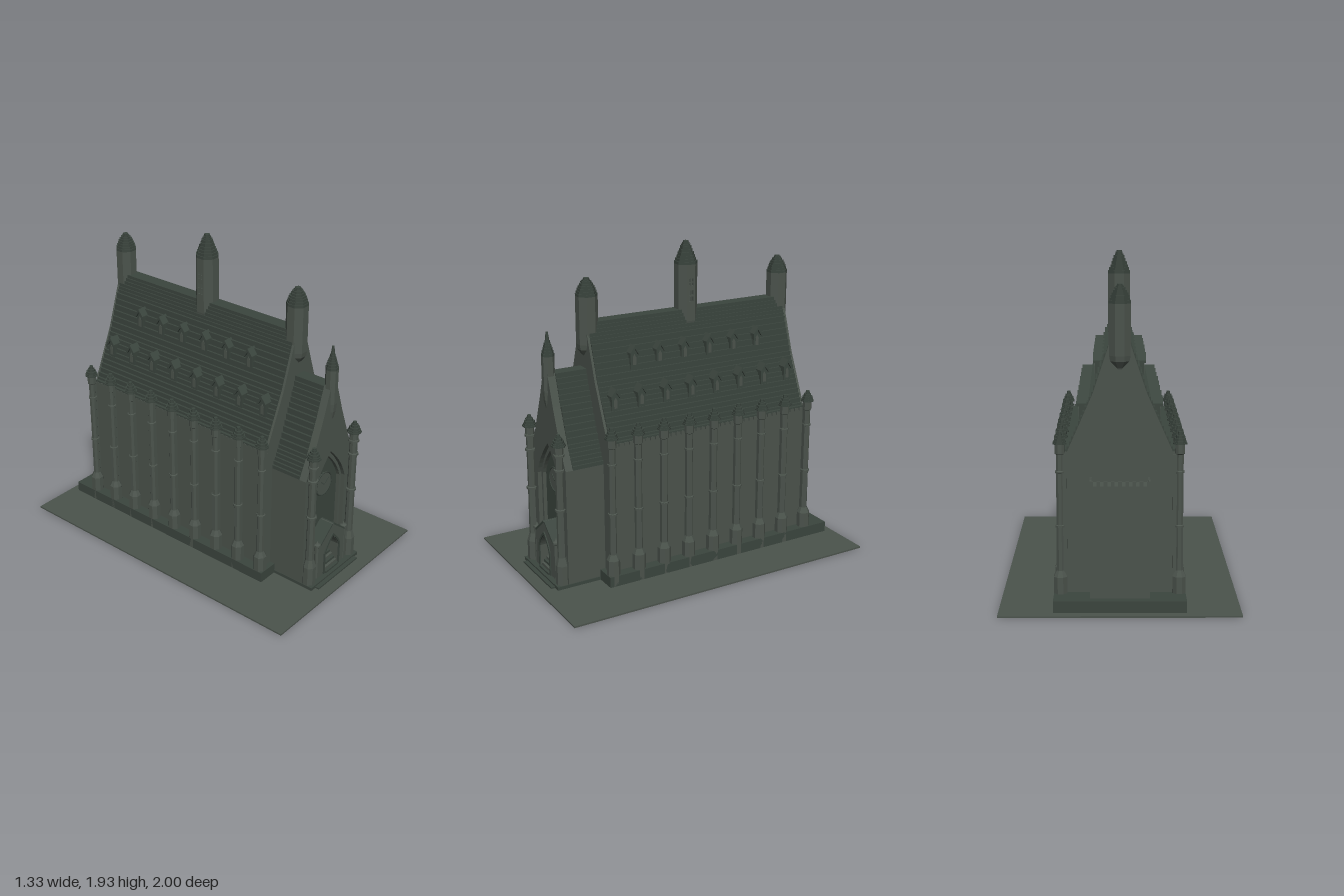
import * as THREE from 'three';

const stone = new THREE.MeshStandardMaterial({ color: 0x4b534c });
stone.name = 'grey green stone';
const dark = new THREE.MeshStandardMaterial({ color: 0x3b453e });
dark.name = 'dark slate';

export function createModel() {
  const root = new THREE.Group();

  const add = (name, geo, mat, x = 0, y = 0, z = 0, parent = root) => {
    const m = new THREE.Mesh(geo, mat);
    m.name = name;
    m.position.set(x, y, z);
    parent.add(m);
    return m;
  };
  // box given by its limits
  const box = (name, mat, x0, x1, y0, y1, z0, z1) =>
    add(name, new THREE.BoxGeometry(x1 - x0, y1 - y0, z1 - z0), mat, (x0 + x1) / 2, (y0 + y1) / 2, (z0 + z1) / 2);
  const shapeOf = pts => new THREE.Shape(pts.map(p => new THREE.Vector2(p[0], p[1])));
  const mirrored = pts => shapeOf([...pts, ...pts.map(([x, y]) => [-x, y]).reverse()]);
  const extrude = (shape, depth) => new THREE.ExtrudeGeometry(shape, { depth, bevelEnabled: false });
  // faceted octagonal turning with flat sides facing the axes
  const octagon = pts => {
    const k = 1 / Math.cos(Math.PI / 8);
    const g = new THREE.LatheGeometry(pts.map(p => new THREE.Vector2(p[0] * k, p[1])), 8, Math.PI / 8).toNonIndexed();
    g.computeVertexNormals();
    return g;
  };
  // stair-step version of an outline that narrows upward
  const stepped = (pts, perPart) => {
    const out = [];
    for (let i = 0; i < pts.length - 1; i++) {
      const [ax, ay] = pts[i], [bx, by] = pts[i + 1];
      for (let k = 0; k < perPart; k++) {
        const x = ax + (bx - ax) * k / perPart;
        out.push([x, ay + (by - ay) * k / perPart], [x, ay + (by - ay) * (k + 1) / perPart]);
      }
    }
    return out;
  };
  const stepCap = (pts, perPart) => octagon([[0, pts[0][1]], ...stepped(pts, perPart), [0, pts[pts.length - 1][1]]]);
  // right half of a pointed arch, bottom to apex
  const archHalf = (w, bottom, spring, apex) => {
    const out = [[w, bottom]];
    for (let i = 0; i <= 7; i++) {
      const t = i / 7;
      out.push([w * (1 - t) * (1 + 0.55 * t), spring + (apex - spring) * t]);
    }
    return out;
  };
  const archPts = (...a) => {
    const h = archHalf(...a);
    return [...h, ...h.slice(0, -1).map(([x, y]) => [-x, y]).reverse()];
  };
  const withArch = (outline, arch) => {
    const s = mirrored(outline);
    s.holes.push(new THREE.Path(archPts(...arch).map(p => new THREE.Vector2(...p))));
    return s;
  };

  // ground and plinths
  box('ground', stone, -0.665, 0.665, 0, 0.01, -1, 1);
  box('plinth', dark, -0.365, 0.365, 0.01, 0.075, -0.95, 0.62);
  box('frontPlinth', dark, -0.24, 0.24, 0.01, 0.03, 0.6, 0.9);
  box('frontStep', dark, -0.2, 0.2, 0.01, 0.02, 0.9, 0.925);

  // main hall
  const roofLine = [[0.29, 0.87], [0.215, 1.04], [0.145, 1.2], [0.075, 1.41], [0.035, 1.53]];
  box('hallWalls', stone, -0.3, 0.3, 0.07, 0.87, -0.79, 0.58);
  add('hallRoof', extrude(mirrored(stepped(roofLine, 6)), 1.35), dark, 0, 0, -0.78);
  for (const z of [-0.797, 0.565]) {
    add('gable', extrude(mirrored([[0.3, 0.07], [0.3, 0.865], ...roofLine]), 0.02), stone, 0, 0, z);
  }

  // side buttresses with pinnacles, and corbels under the eaves
  const buttress = octagon([[0.037, 0.01], [0.037, 0.17], [0.021, 0.205], [0.02, 0.45], [0.026, 0.452], [0.026, 0.462],
    [0.02, 0.465], [0.02, 0.755], [0.025, 0.757], [0.025, 0.767], [0.02, 0.77], [0.02, 0.86], [0.026, 0.865], [0.026, 0.92]]);
  const pinnacle = stepCap([[0.038, 0.918], [0.03, 0.935], [0.013, 0.965], [0.009, 0.985]], 2);
  const bays = 8, pitch = 0.172, firstZ = 0.58;
  for (const s of [-1, 1]) {
    for (let i = 0; i <= bays; i++) {
      const z = firstZ - i * pitch;
      add('buttress', buttress, stone, s * 0.328, 0, z);
      add('pinnacle', pinnacle, dark, s * 0.328, 0, z);
      box('buttressWeb', stone, s > 0 ? 0.29 : -0.325, s > 0 ? 0.325 : -0.29, 0.07, 0.86, z - 0.012, z + 0.012);
      if (i === bays) continue;
      for (let k = 0; k < 4; k++) {
        const cz = z - 0.036 - k * 0.034;
        box('corbel', stone, s > 0 ? 0.295 : -0.31, s > 0 ? 0.31 : -0.295, 0.855, 0.875, cz - 0.01, cz + 0.01);
      }
    }
    box('eaves', dark, s > 0 ? 0.28 : -0.307, s > 0 ? 0.307 : -0.28, 0.872, 0.884, -0.78, 0.57);
  }

  // dormers, two rows on each slope
  const dormerWall = shapeOf([[-0.024, 0], [0.024, 0], [0.024, 0.1], [0, 0.13], [-0.024, 0.1]]);
  const dormerRoof = shapeOf([[-0.032, 0.085], [-0.024, 0.085], [0, 0.122], [0.024, 0.085], [0.032, 0.085], [0.032, 0.1], [0, 0.143], [-0.032, 0.1]]);
  const dormerPane = shapeOf([[-0.011, 0.025], [0.011, 0.025], [0.011, 0.07], [0, 0.09], [-0.011, 0.07]]);
  const dormer = (s, inner, outer, y, z) => {
    const g = new THREE.Group();
    g.name = 'dormer';
    g.position.set(s * inner, y, z);
    g.rotation.y = s * Math.PI / 2;
    const d = outer - inner;
    add('dormerWall', extrude(dormerWall, d - 0.012), dark, 0, 0, 0, g);
    add('dormerRoof', extrude(dormerRoof, d), dark, 0, 0, 0, g);
    add('dormerWindow', extrude(dormerPane, 0.004), stone, 0, 0, d - 0.013, g);
    root.add(g);
  };
  for (const s of [-1, 1]) {
    for (let i = 0; i < bays; i++) {
      const z = firstZ - (i + 0.5) * pitch;
      dormer(s, 0.13, 0.235, 1.03, z);
      if (i > 0 && i < bays - 1) dormer(s, 0.06, 0.148, 1.243, z);
    }
  }

  // turrets standing on the two ends of the ridge
  for (const z of [0.555, -0.77]) {
    add('ridgeTurret', octagon([[0, 1.27], [0.02, 1.28], [0.028, 1.33], [0.056, 1.37], [0.06, 1.4], [0.06, 1.68], [0, 1.68]]), stone, 0, 0, z);
    add('ridgeTurretCap', stepCap([[0.06, 1.68], [0.045, 1.725], [0.022, 1.765], [0.012, 1.783]], 3), dark, 0, 0, z);
  }

  // middle tower with pierced windows toward both sides
  const tower = new THREE.Group();
  tower.name = 'middleTower';
  tower.position.z = -0.105;
  root.add(tower);
  const a = 0.065, half = a * Math.tan(Math.PI / 8);
  add('towerFoot', octagon([[0, 1.36], [0.035, 1.37], [0.058, 1.41], [a, 1.46], [a, 1.52], [0, 1.52]]), stone, 0, 0, 0, tower);
  for (let i = 0; i < 8; i++) {
    const wall = mirrored([[half, 1.52], [half, 1.8]]);
    if (i % 4 === 2) {
      for (const [y, w, h] of [[1.58, 0.013, 0.028], [1.618, 0.013, 0.028], [1.675, 0.008, 0.016], [1.697, 0.008, 0.02]]) {
        for (const c of [-0.01, 0.01]) {
          wall.holes.push(new THREE.Path([[c - w / 2, y], [c + w / 2, y], [c + w / 2, y + h], [c - w / 2, y + h]].map(p => new THREE.Vector2(...p))));
        }
      }
    }
    const g = extrude(wall, 0.008);
    g.translate(0, 0, a - 0.008);
    add('towerWall', g, stone, 0, 0, 0, tower).rotation.y = i * Math.PI / 4;
  }
  add('towerCap', stepCap([[0.065, 1.8], [0.045, 1.85], [0.025, 1.905], [0.012, 1.935]], 3), dark, 0, 0, 0, tower);

  // front wing
  const wingLine = [[0.235, 0.735], [0.17, 0.87], [0.09, 1.08], [0.03, 1.26]];
  box('wingWalls', stone, -0.235, 0.235, 0.03, 0.735, 0.57, 0.775);
  add('wingRoof', extrude(mirrored(stepped(wingLine, 6)), 0.21), dark, 0, 0, 0.57);
  const facade = [[0.235, 0.02], ...wingLine];
  add('innerFacade', extrude(withArch(facade, [0.14, 0.04, 0.6, 0.8]), 0.03), stone, 0, 0, 0.772);
  add('outerFacade', extrude(withArch(facade, [0.158, 0.03, 0.6, 0.835]), 0.025), stone, 0, 0, 0.802);
  box('archBack', dark, -0.15, 0.15, 0.03, 0.85, 0.77, 0.78);

  // clock
  add('clockRim', new THREE.TorusGeometry(0.074, 0.005, 6, 32), dark, 0, 0.6, 0.788);
  add('clockFace', new THREE.CylinderGeometry(0.074, 0.074, 0.009, 32).rotateX(Math.PI / 2), stone, 0, 0.6, 0.784);
  for (const [len, angle] of [[0.045, 0.85], [0.055, -0.95]]) {
    const hand = new THREE.BoxGeometry(0.005, len, 0.004);
    hand.translate(0, len / 2, 0);
    add('clockHand', hand, dark, 0, 0.595, 0.79).rotation.z = angle;
  }

  // slender spire on the front gable
  add('frontSpire', octagon([[0, 1.01], [0.015, 1.03], [0.03, 1.1], [0.035, 1.15], [0.035, 1.36], [0, 1.36]]), stone, 0, 0, 0.807);
  add('frontSpireCap', stepCap([[0.035, 1.36], [0.022, 1.41], [0.011, 1.45], [0.005, 1.5]], 3), dark, 0, 0, 0.807);

  // free columns at the front corners
  for (const s of [-1, 1]) {
    add('frontColumn', octagon([[0.037, 0.02], [0.037, 0.15], [0.024, 0.2], [0.022, 0.485], [0.03, 0.488], [0.03, 0.5], [0.022, 0.503],
      [0.022, 0.73], [0.03, 0.733], [0.03, 0.745], [0.022, 0.748], [0.022, 0.82], [0.03, 0.823], [0.03, 0.835], [0.025, 0.838], [0.025, 0.89]]), stone, s * 0.2, 0, 0.85);
    add('frontColumnCap', stepCap([[0.04, 0.885], [0.03, 0.905], [0.013, 0.935], [0.008, 0.955]], 2), dark, s * 0.2, 0, 0.85);
  }

  // entrance porch with door and stairs
  const porch = [[0.135, 0.025], [0.135, 0.245], [0.115, 0.26], [0.004, 0.35]];
  add('porch', extrude(withArch(porch, [0.066, 0.03, 0.17, 0.265]), 0.085), stone, 0, 0, 0.782);
  add('porchMoulding', extrude(withArch(archHalf(0.08, 0.026, 0.175, 0.285), [0.068, 0.03, 0.17, 0.267]), 0.008), dark, 0, 0, 0.866);
  add('doorway', extrude(shapeOf(archPts(0.042, 0.1, 0.165, 0.21)), 0.006), stone, 0, 0, 0.782);
  for (const s of [-1, 1]) {
    box('doorLeaf', dark, s * 0.017 - 0.013, s * 0.017 + 0.013, 0.11, 0.165, 0.788, 0.792);
    add('porchPinnacle', octagon([[0.014, 0.03], [0.014, 0.25], [0.02, 0.255], [0.02, 0.268], [0.01, 0.275], [0, 0.295]]), stone, s * 0.135, 0, 0.855);
    add('porchCoping', new THREE.BoxGeometry(0.155, 0.01, 0.09), dark, s * 0.066, 0.302, 0.826).rotation.z = -s * 0.68;
  }
  for (let i = 0; i < 5; i++) {
    box('stair', i % 2 ? stone : dark, -0.064, 0.064, 0.025, 0.042 + i * 0.016, 0.782, 0.88 - i * 0.016);
  }

  // rear block with battlements
  box('rearBlock', stone, -0.165, 0.165, 0.07, 0.705, -0.9, -0.78);
  for (let i = 0; i < 9; i++) {
    const x = -0.155 + i * 0.03875;
    box('merlon', stone, x - 0.01, x + 0.01, 0.7, 0.73, -0.9, -0.888);
  }
  for (const s of [-1, 1]) {
    for (let k = 0; k < 3; k++) {
      const z = -0.865 + k * 0.03;
      box('sideMerlon', stone, s * 0.159 - 0.006, s * 0.159 + 0.006, 0.7, 0.73, z - 0.009, z + 0.009);
    }
  }
  return root;
}
